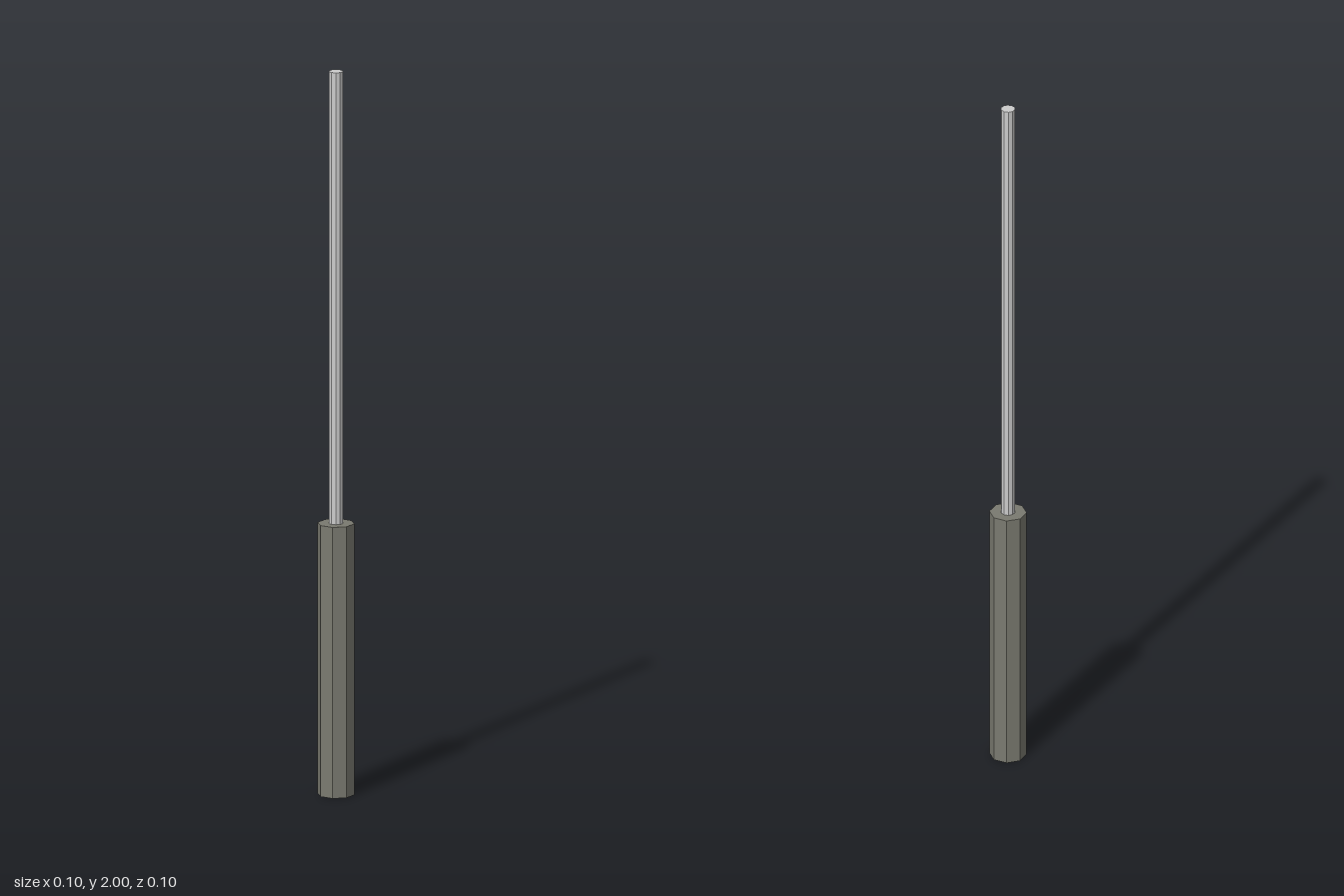
import * as THREE from 'three';

const ROD_RADIUS = 0.0195, ROD_SIDES = 10;
const GRIP_RADIUS = 0.05, GRIP_SIDES = 8;
const TOTAL_HEIGHT = 2, GRIP_HEIGHT = 0.75;

// Corners of a regular polygon with one corner on the z axis
function polygon(radius, sides) {
  return Array.from({ length: sides }, (_, i) => {
    const a = (i / sides) * Math.PI * 2;
    return new THREE.Vector2(Math.sin(a) * radius, Math.cos(a) * radius);
  });
}

export function createModel() {
  const group = new THREE.Group();
  const rodMaterial = new THREE.MeshStandardMaterial({ color: 0xcccccc, flatShading: true });
  const gripMaterial = new THREE.MeshStandardMaterial({ color: 0x7a7a70, flatShading: true });

  // Thin rod running through the grip, its lower end flush with the grip's base
  const rod = new THREE.Mesh(
    new THREE.CylinderGeometry(ROD_RADIUS, ROD_RADIUS, TOTAL_HEIGHT, ROD_SIDES), rodMaterial);
  rod.name = 'rod';
  rod.position.y = TOTAL_HEIGHT / 2;
  group.add(rod);

  // Octagonal grip, bored to fit the rod
  const section = new THREE.Shape(polygon(GRIP_RADIUS, GRIP_SIDES));
  section.holes.push(new THREE.Path(polygon(ROD_RADIUS, ROD_SIDES)));
  const gripGeometry = new THREE.ExtrudeGeometry(section, { depth: GRIP_HEIGHT, bevelEnabled: false });
  gripGeometry.rotateX(-Math.PI / 2);
  const grip = new THREE.Mesh(gripGeometry, gripMaterial);
  grip.name = 'grip';
  group.add(grip);

  return group;
}
